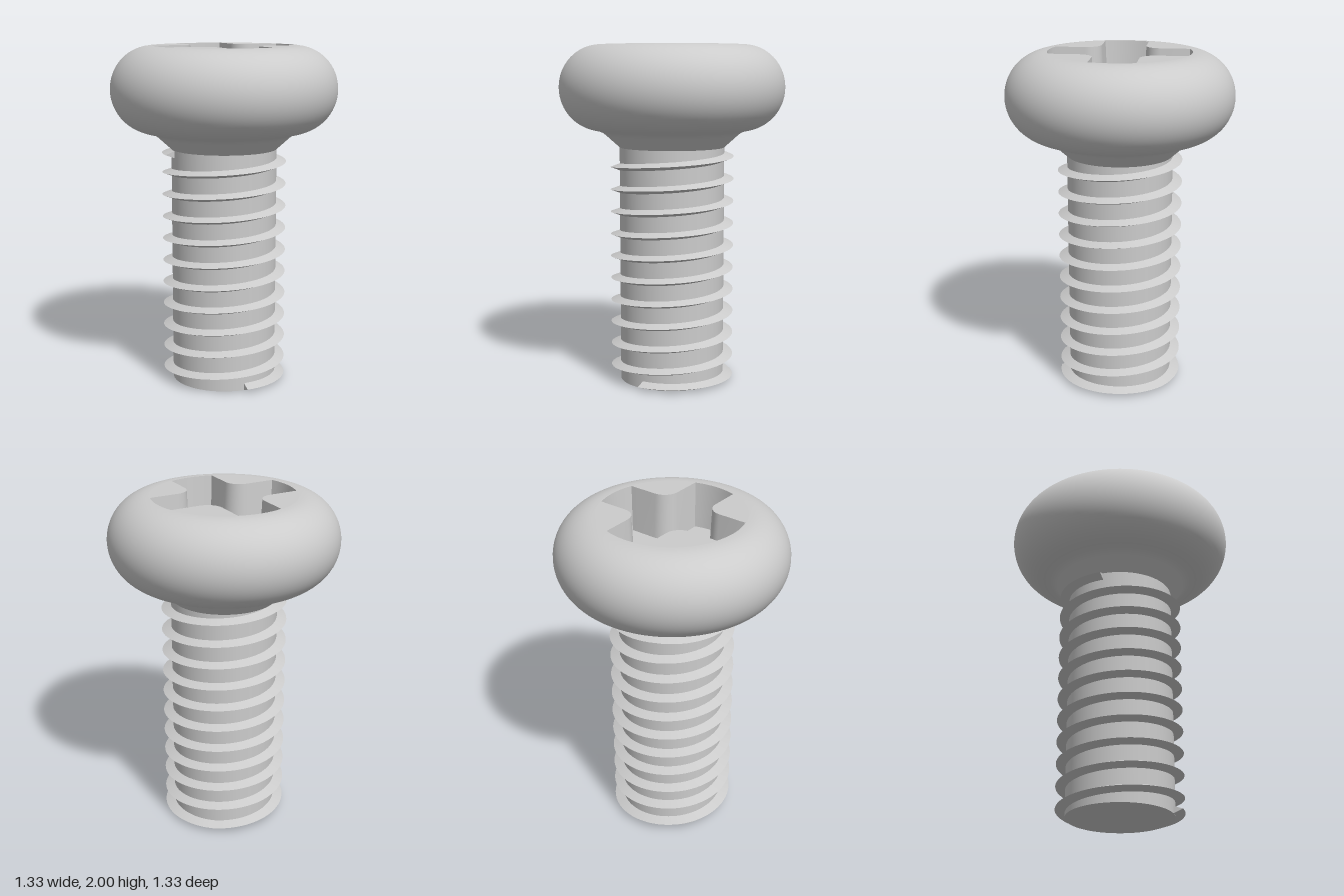
import * as THREE from 'three';
import { toCreasedNormals } from 'three/addons/utils/BufferGeometryUtils.js';

const material = new THREE.MeshStandardMaterial({ color: 0xcccccc });
const SHANK_R = 0.31, NECK_Y = 1.4, FLAT_R = 0.42, TOP_Y = 2, SOCKET_DEPTH = 0.27;

function part(name, geometry) {
  const mesh = new THREE.Mesh(geometry, material);
  mesh.name = name;
  return mesh;
}

// Skin a row of closed cross-sections, optionally capping both ends (triangular sections)
function loft(rings, capped = false) {
  const n = rings[0].length, index = [];
  for (let i = 0; i < rings.length - 1; i++) {
    for (let j = 0; j < n; j++) {
      const k = (j + 1) % n;
      const a = i * n + j, b = i * n + k, c = a + n, d = b + n;
      index.push(a, c, b, b, c, d);
    }
  }
  if (capped) {
    const e = (rings.length - 1) * n;
    index.push(0, 1, 2, e + 2, e + 1, e);
  }
  const geometry = new THREE.BufferGeometry().setFromPoints(rings.flat());
  geometry.setIndex(index);
  return toCreasedNormals(geometry, 0.6);
}

// Cross outline: four arms with arc tips and filleted inner corners
function crossOutline(halfWidth, tipR, fillet) {
  const points = [], tip = Math.asin(halfWidth / tipR), c = halfWidth + fillet;
  for (let q = 0; q < 4; q++) {
    const turn = q * Math.PI / 2, centre = new THREE.Vector2();
    const add = (x, y) => points.push(new THREE.Vector2(x, y).rotateAround(centre, turn));
    for (let i = 0; i <= 8; i++) {
      const a = -tip + 2 * tip * i / 8;
      add(tipR * Math.cos(a), tipR * Math.sin(a));
    }
    for (let i = 0; i <= 10; i++) {
      const a = -Math.PI / 2 - (Math.PI / 2) * i / 10;
      add(c + fillet * Math.cos(a), c + fillet * Math.sin(a));
    }
  }
  return points;
}

// Flat horizontal face from a shape, facing up
function flatFace(shape, y) {
  return new THREE.ShapeGeometry(shape, 96).rotateX(-Math.PI / 2).translate(0, y, 0);
}

function lathe(points) {
  const profile = points.map(([r, y]) => new THREE.Vector2(r, y));
  return toCreasedNormals(new THREE.LatheGeometry(profile, 96), 0.6);
}

function createThread() {
  const pitch = 0.1333, half = 0.022, turns = 10.75, steps = 688, rings = [];
  for (let i = 0; i <= steps; i++) {
    const t = turns * i / steps, a = t * Math.PI * 2;
    // The helix runs out flat against the shank's two ends
    const y = THREE.MathUtils.clamp(-0.03 + pitch * t, half, NECK_Y - half);
    const at = (r, dy) => new THREE.Vector3(r * Math.sin(a), y + dy, r * Math.cos(a));
    rings.push([at(SHANK_R - 0.003, -half), at(0.366, 0), at(SHANK_R - 0.003, half)]);
  }
  return loft(rings, true);
}

export function createModel() {
  const group = new THREE.Group();

  // Shank with flat end
  group.add(part('shank', lathe([[0, 0], [SHANK_R, 0], [SHANK_R, NECK_Y]])));
  group.add(part('thread', createThread()));

  // Flared neck blending into the rounded head
  const profile = [[SHANK_R, NECK_Y], [0.355, 1.44], [0.39, 1.472], [0.41, 1.487], [0.435, 1.498]];
  for (let i = 2; i <= 32; i++) {
    const a = -Math.PI / 2 + Math.PI * i / 32;
    profile.push([FLAT_R + 0.243 * Math.cos(a), 1.75 + 0.25 * Math.sin(a)]);
  }
  group.add(part('head', lathe(profile)));

  // Flat top with cross-shaped opening
  const rim = crossOutline(0.132, 0.415, 0.09);
  const floor = crossOutline(0.119, 0.398, 0.103);
  const top = new THREE.Shape().absarc(0, 0, FLAT_R, 0, Math.PI * 2);
  top.holes.push(new THREE.Path(rim));
  group.add(part('headTop', flatFace(top, TOP_Y)));

  // Drafted recess walls and floor
  const floorY = TOP_Y - SOCKET_DEPTH;
  const ring = (points, y) => points.map(p => new THREE.Vector3(p.x, y, -p.y));
  group.add(part('socketWalls', loft([ring(floor, floorY), ring(rim, TOP_Y)])));
  group.add(part('socketFloor', flatFace(new THREE.Shape(floor), floorY)));

  return group;
}
